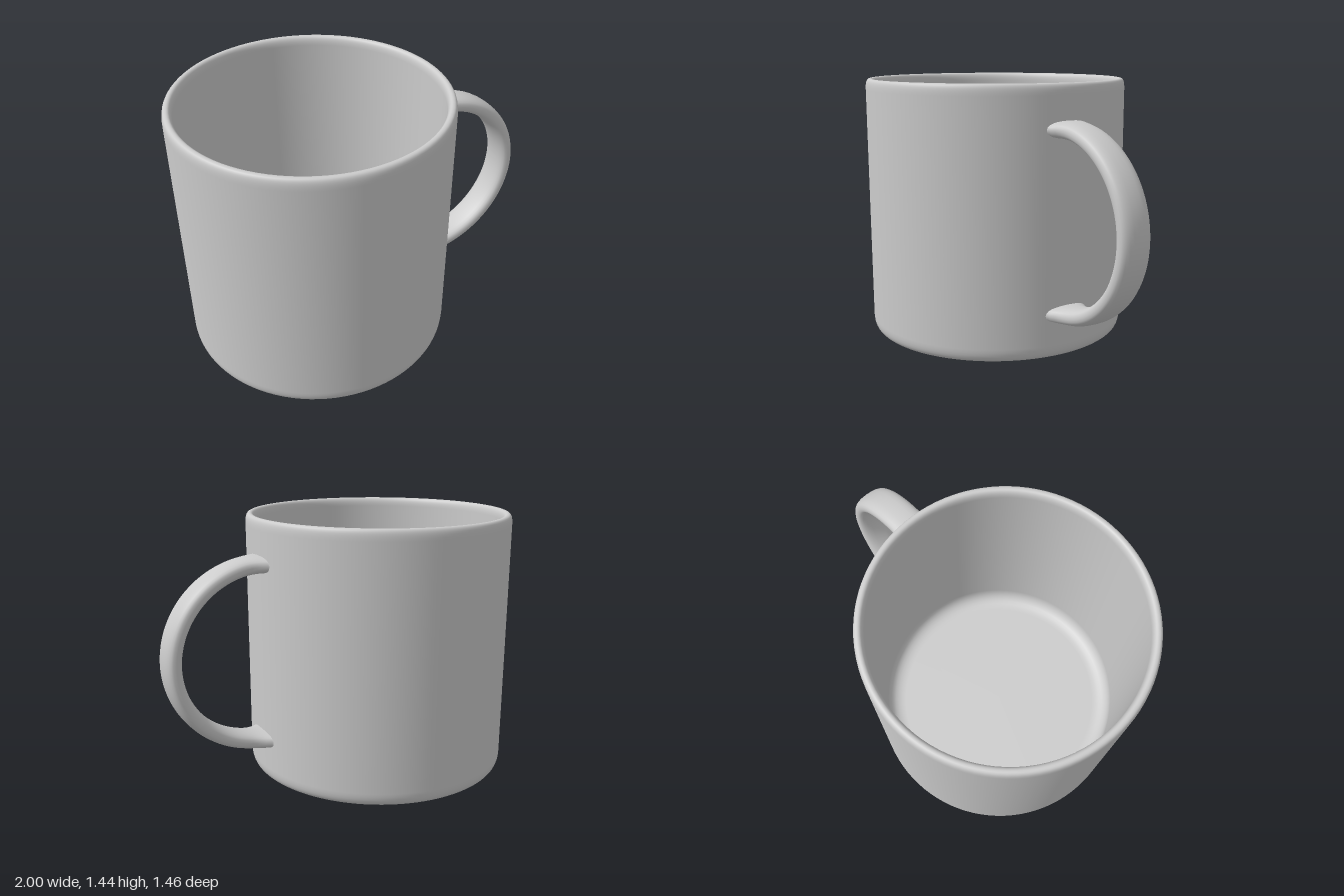
import * as THREE from 'three';

const material = new THREE.MeshStandardMaterial({ color: 0xcccccc });
const BODY_X = -0.27;

// Cup: one closed profile from under the base, up the outside, over the rim, down to the floor
function createCup() {
  const path = new THREE.Path();
  path.moveTo(0, 0.05);
  path.lineTo(0.56, 0.05);
  path.quadraticCurveTo(0.63, 0.05, 0.645, 0.022);
  path.quadraticCurveTo(0.66, 0.005, 0.685, 0.005);
  path.bezierCurveTo(0.715, 0.005, 0.73, 0.03, 0.73, 0.08);
  path.lineTo(0.73, 1.38);
  path.bezierCurveTo(0.73, 1.42, 0.725, 1.44, 0.705, 1.44);
  path.bezierCurveTo(0.69, 1.44, 0.68, 1.425, 0.68, 1.39);
  path.lineTo(0.68, 0.2);
  path.quadraticCurveTo(0.68, 0.1, 0.58, 0.1);
  path.lineTo(0, 0.1);
  const points = path.getPoints(8);
  points[0].x = points[points.length - 1].x = 0;
  const cup = new THREE.Mesh(new THREE.LatheGeometry(points, 96), material);
  cup.name = 'cup';
  cup.position.x = BODY_X;
  return cup;
}

// Handle: flattened oval section swept along a half ellipse, flaring where it meets the cup
function createHandle() {
  const steps = 64, sides = 24;
  const startX = 0.43, baseX = 0.46, midY = 0.727, midZ = 0.02;
  const rx = 0.495, ry = 0.482, halfThick = 0.045;
  const positions = [], indices = [];
  const soften = (v) => Math.sign(v) * Math.pow(Math.abs(v), 0.8);

  const stations = [];
  const straight = [0, 0.25, 0.5, 0.75];
  for (const s of straight) stations.push([startX + (baseX - startX) * s, ry, 0, 1]);
  for (let i = 0; i <= steps; i++) {
    const a = Math.PI / 2 - (i / steps) * Math.PI;
    const n = new THREE.Vector2(Math.cos(a) / rx, Math.sin(a) / ry).normalize();
    stations.push([baseX + rx * Math.cos(a), ry * Math.sin(a), n.x, n.y]);
  }
  for (const s of straight.slice().reverse()) stations.push([startX + (baseX - startX) * s, -ry, 0, -1]);

  for (const [x, y, nx, ny] of stations) {
    const flare = Math.max(0, 1 - (x - startX) / 0.14) ** 2;
    const halfWide = 0.09 + 0.05 * flare;
    for (let j = 0; j < sides; j++) {
      const t = (j / sides) * Math.PI * 2;
      const out = halfThick * soften(Math.cos(t));
      positions.push(x + nx * out, midY + y + ny * out, midZ + halfWide * soften(Math.sin(t)));
    }
  }
  for (let i = 0; i < stations.length - 1; i++) {
    for (let j = 0; j < sides; j++) {
      const a = i * sides + j, b = i * sides + (j + 1) % sides;
      indices.push(a, b, a + sides, b, b + sides, a + sides);
    }
  }
  const geometry = new THREE.BufferGeometry();
  geometry.setAttribute('position', new THREE.Float32BufferAttribute(positions, 3));
  geometry.setIndex(indices);
  geometry.computeVertexNormals();
  const handle = new THREE.Mesh(geometry, material);
  handle.name = 'handle';
  return handle;
}

export function createModel() {
  const mug = new THREE.Group();
  mug.name = 'mug';
  mug.add(createCup(), createHandle());
  return mug;
}
